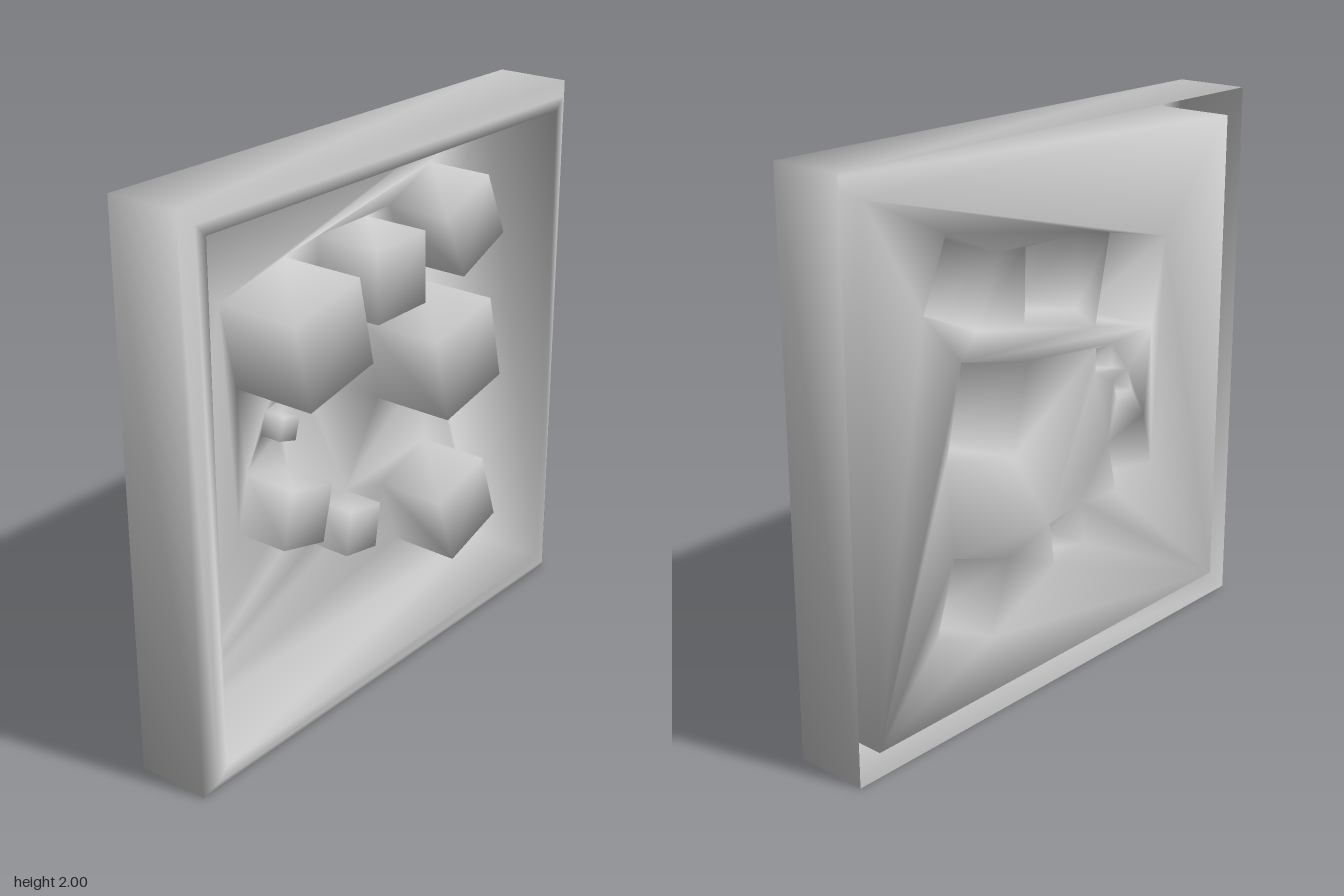
import * as THREE from 'three';

const BACK = -0.16;

// Square loop, counter-clockwise seen from the front
function squareLoop(cx, cy, half, z, degrees = 0) {
  const a = THREE.MathUtils.degToRad(degrees);
  const c = Math.cos(a) * half, s = Math.sin(a) * half;
  return [[-1, -1], [1, -1], [1, 1], [-1, 1]].map(
    ([u, v]) => new THREE.Vector3(cx + u * c - v * s, cy + u * s + v * c, z));
}

// [centre x, centre y, size, turn in degrees]
const BLOCKS = [
  [-0.36, 1.405, 0.327, 12.5],
  [0.069, 1.5, 0.262, 1],
  [0.498, 1.573, 0.26, 23.5],
  [0.382, 1.12, 0.327, 13],
  [0.461, 0.475, 0.28, 18.5],
  [-0.372, 0.757, 0.21, -14],
  [-0.024, 0.552, 0.167, -9.5],
  [-0.215, 1.155, 0.09, 0],
  [-0.321, 1.031, 0.085, -16],
];

export function createModel() {
  const group = new THREE.Group();
  const positions = [];
  const parts = [];

  // All parts share one set of vertices so the shading flows across them
  const addLoop = (loop) => loop.map((p) => positions.push(p.x, p.y, p.z) / 3 - 1);
  const addPart = (name) => {
    const part = { name, index: [] };
    parts.push(part);
    return part.index;
  };
  const strip = (index, a, b) => {
    for (let i = 0; i < 4; i++) {
      const j = (i + 1) % 4;
      index.push(a[i], a[j], b[j], a[i], b[j], b[i]);
    }
  };

  // Outer walls, bevel and front rim
  const frame = addPart('frame');
  const [wallBack, wallFront, bevel, lip, floorEdge] = [
    [1, BACK], [1, 0.115], [0.955, 0.142], [0.91, 0.142], [0.91, BACK],
  ].map(([half, z]) => addLoop(squareLoop(0, 1, half, z)));
  strip(frame, wallBack, wallFront);
  strip(frame, wallFront, bevel);
  strip(frame, bevel, lip);

  // Inner walls down to the floor
  strip(addPart('recessWalls'), lip, floorEdge);

  // Cubes raised from the floor, open at the back
  const floorIds = [...floorEdge];
  const holes = [];
  BLOCKS.forEach(([x, y, size, turn], n) => {
    const block = addPart('raisedBlock' + (n + 1));
    const baseLoop = squareLoop(x, y, size / 2, BACK, turn);
    const base = addLoop(baseLoop);
    const top = addLoop(squareLoop(x, y, size / 2, BACK + size * 0.975, turn));
    strip(block, base, top);
    block.push(top[0], top[1], top[2], top[0], top[2], top[3]);
    holes.push(baseLoop.map((p) => new THREE.Vector2(p.x, p.y)).reverse());
    floorIds.push(...[...base].reverse());
  });

  // Floor with an opening under each block
  const floor = addPart('floor');
  const outline = squareLoop(0, 1, 0.91, BACK).map((p) => new THREE.Vector2(p.x, p.y));
  for (const face of THREE.ShapeUtils.triangulateShape(outline, holes)) {
    const [a, b, c] = face.map((i) => floorIds[i]);
    const at = (i, k) => positions[i * 3 + k];
    const area = (at(b, 0) - at(a, 0)) * (at(c, 1) - at(a, 1))
      - (at(b, 1) - at(a, 1)) * (at(c, 0) - at(a, 0));
    floor.push(...(area > 0 ? [a, b, c] : [a, c, b]));
  }

  // Smooth normals over the joined surface
  const shell = new THREE.BufferGeometry();
  shell.setAttribute('position', new THREE.Float32BufferAttribute(positions, 3));
  shell.setIndex(parts.flatMap((p) => p.index));
  shell.computeVertexNormals();

  const material = new THREE.MeshStandardMaterial({ color: 0xcccccc, side: THREE.DoubleSide });
  for (const { name, index } of parts) {
    const geometry = new THREE.BufferGeometry();
    geometry.setAttribute('position', shell.getAttribute('position'));
    geometry.setAttribute('normal', shell.getAttribute('normal'));
    geometry.setIndex(index);
    const mesh = new THREE.Mesh(geometry, material);
    mesh.name = name;
    group.add(mesh);
  }
  return group;
}
